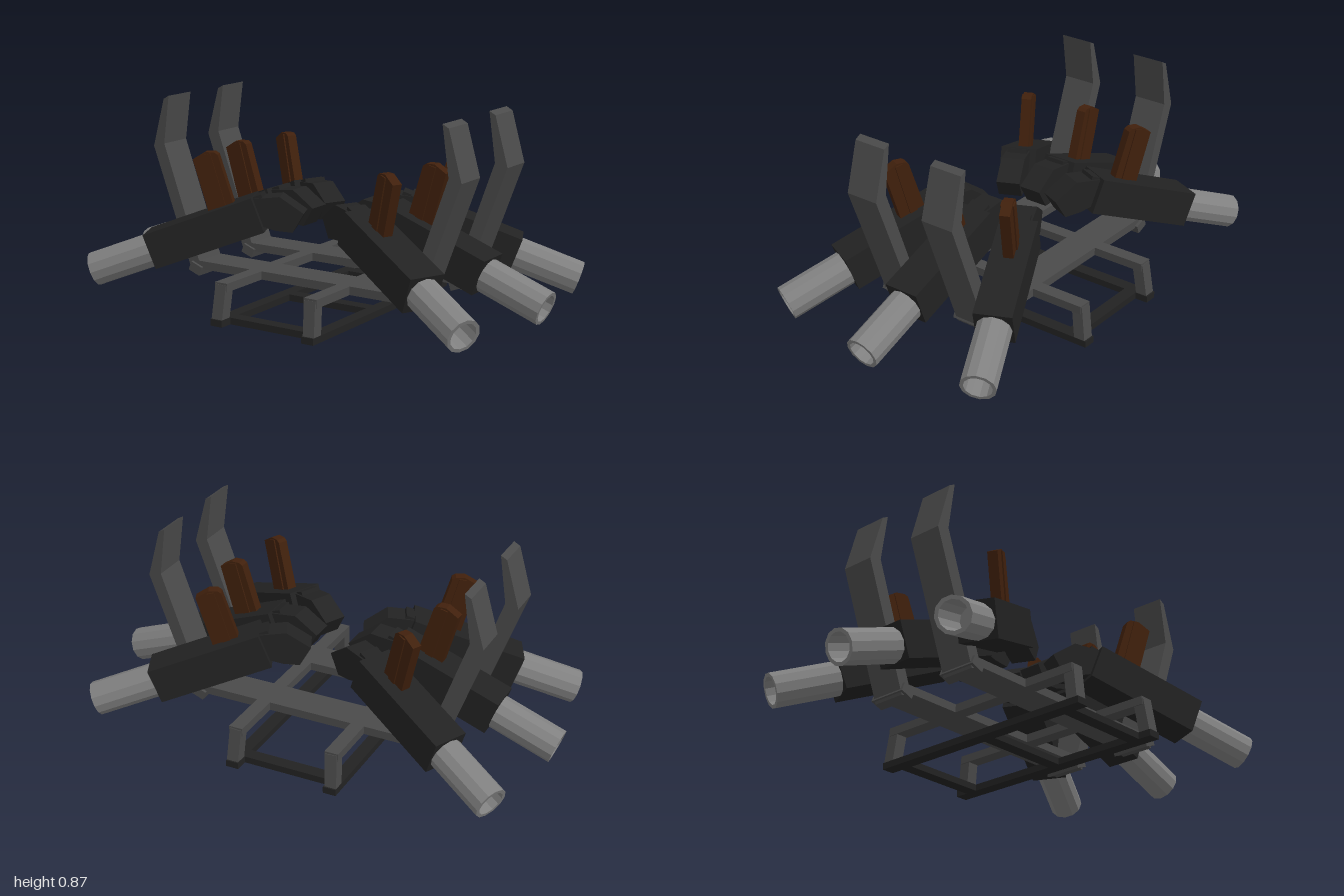
import * as THREE from 'three';

const mat = (name, color) => new THREE.MeshStandardMaterial({ name, color, flatShading: true });

export function createModel() {
  const black = mat('black metal', 0x222222);
  const steel = mat('dark steel', 0x4a4a4a);
  const grey = mat('barrel grey', 0x808080);
  grey.side = THREE.DoubleSide;
  const brown = mat('brown wood', 0x40200c);

  const root = new THREE.Group();
  root.name = 'barrelRack';
  const TILT = 0.356;   // downward slope of each unit
  const FAN = 0.436;    // sideways spread of the outer units

  const add = (parent, name, geo, m, x = 0, y = 0, z = 0, rz = 0) => {
    const mesh = new THREE.Mesh(geo, m);
    mesh.name = name;
    mesh.position.set(x, y, z);
    mesh.rotation.z = rz;
    parent.add(mesh);
    return mesh;
  };
  const box = (w, h, d) => new THREE.BoxGeometry(w, h, d);
  // Side profile in x/y, extruded evenly about z = 0
  const slab = (points, depth) => {
    const shape = new THREE.Shape(points.map(([x, y]) => new THREE.Vector2(x, y)));
    return new THREE.ExtrudeGeometry(shape, { depth, bevelEnabled: false }).translate(0, 0, -depth / 2);
  };

  // One unit: body, bent stock, hollow barrel and upright grip
  function createUnit() {
    const unit = new THREE.Group();
    unit.name = 'unit';
    add(unit, 'body', box(0.49, 0.152, 0.154), black, 0.49, 0.322, 0, -TILT);
    add(unit, 'stock', slab([
      [0.30, 0.468], [0.173, 0.482], [0.073, 0.414], [0.12, 0.334], [0.19, 0.34], [0.26, 0.36],
    ], 0.1), black);
    add(unit, 'stockCollar', box(0.07, 0.11, 0.084), black, 0.265, 0.425, 0, -TILT);

    const tube = new THREE.LatheGeometry([
      [0, 0], [0.072, 0], [0.072, 0.31], [0.057, 0.31], [0.057, 0.06], [0, 0.06],
    ].map(([r, y]) => new THREE.Vector2(r, y)), 12);
    add(unit, 'barrel', tube, grey, 0.686, 0.245, 0, -Math.PI / 2 - TILT);

    add(unit, 'grip', slab([
      [0.365, 0.42], [0.435, 0.645], [0.45, 0.655], [0.487, 0.655], [0.54, 0.622], [0.47, 0.38],
    ], 0.042), brown);
    add(unit, 'gripSpine', slab([
      [0.40, 0.42], [0.465, 0.65], [0.495, 0.643], [0.43, 0.40],
    ], 0.054), brown);
    return unit;
  }

  // Three units fan out on either side
  for (const half of [0, Math.PI]) {
    for (const s of [-1, 0, 1]) {
      const unit = createUnit();
      unit.position.z = s * 0.08;
      unit.rotation.y = half === 0 ? -s * FAN : Math.PI + s * FAN;
      root.add(unit);
    }
  }

  // Two cross boards, each with a bent upright arm at both ends
  for (const z of [-0.187, 0.187]) {
    add(root, 'crossBoard', box(1.03, 0.035, 0.147), steel, 0, 0.158, z);
    for (const s of [-1, 1]) {
      const arm = new THREE.Group();
      arm.name = 'arm';
      arm.position.z = z;
      arm.rotation.y = s > 0 ? 0 : Math.PI;
      add(arm, 'armBlade', slab([
        [0.495, 0.135], [0.545, 0.12], [0.74, 0.645], [0.682, 0.85], [0.655, 0.865], [0.684, 0.66],
      ], 0.147), steel);
      add(arm, 'armFoot', box(0.058, 0.04, 0.172), steel, 0.522, 0.142, 0, -TILT + 0.72);
      root.add(arm);
    }
  }

  // Base: two side loops with dark runners below
  for (const s of [-1, 1]) {
    add(root, 'upperRail', box(0.06, 0.035, 0.99), steel, s * 0.215, 0.158, 0);
    add(root, 'runner', box(0.056, 0.028, 1.05), black, s * 0.22, 0.014, 0);
    for (const e of [-1, 1]) {
      const post = add(root, 'post', box(0.052, 0.145, 0.05), steel, s * 0.218, 0.093, e * 0.484, s * 0.05);
      post.rotation.x = -e * 0.14;
    }
  }
  for (const z of [-0.44, 0.025, 0.44]) {
    add(root, 'crossBar', box(0.4, 0.028, 0.056), black, 0, 0.014, z);
  }
  return root;
}
